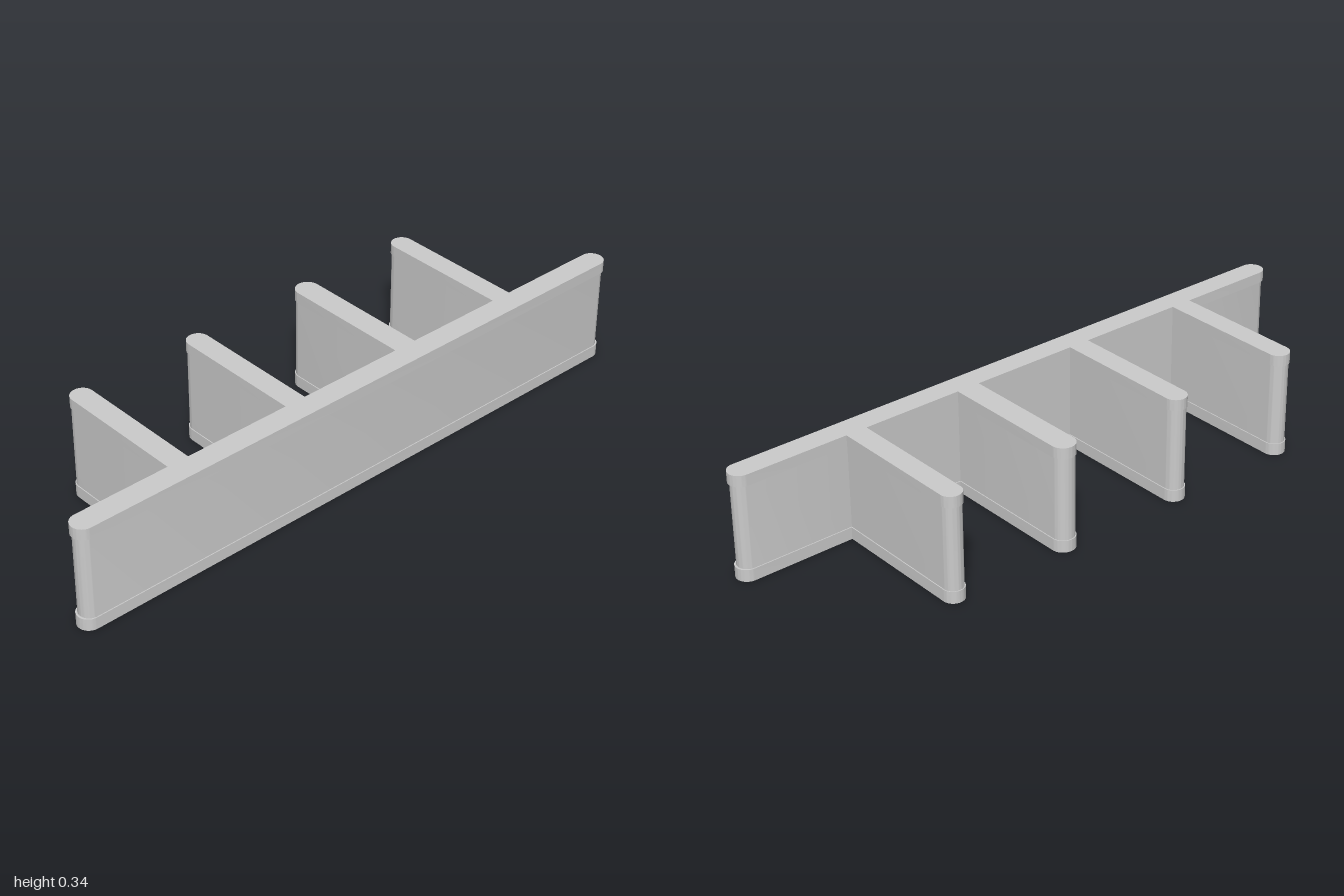
import * as THREE from 'three';
import { toCreasedNormals } from 'three/addons/utils/BufferGeometryUtils.js';

const WALL_Z = 0.226;   // centre line of the long front wall
const WALL_R = 0.036;   // half thickness of the wall
const BACK_Z = -0.262;  // rear tip of the fins

// Fins from the model's left to its right: centre x, half width
const FINS = [
  [0.605, 0.034],
  [0.212, 0.038],
  [-0.207, 0.035],
  [-0.622, 0.035],
];

// Comb-shaped footprint with rounded ends (shape y is -z)
function footprint(inset, endInset) {
  const r = WALL_R - inset;
  const endX = 1 - endInset - r;
  const shape = new THREE.Shape();
  shape.moveTo(-endX, -WALL_Z - r);
  shape.lineTo(endX, -WALL_Z - r);
  shape.absarc(endX, -WALL_Z, r, -Math.PI / 2, Math.PI / 2, false);
  for (const [x, halfWidth] of FINS) {
    const w = halfWidth - inset;
    shape.lineTo(x + w, -WALL_Z + r);
    shape.absarc(x, -BACK_Z - inset - w, w, 0, Math.PI, false);
    shape.lineTo(x - w, -WALL_Z + r);
  }
  shape.lineTo(-endX, -WALL_Z + r);
  shape.absarc(-endX, -WALL_Z, r, Math.PI / 2, Math.PI * 1.5, false);
  return shape;
}

export function createModel() {
  const group = new THREE.Group();
  group.name = 'combDivider';
  const material = new THREE.MeshStandardMaterial({ color: 0xcccccc });

  function addLayer(name, y0, y1, inset, endInset) {
    const geometry = new THREE.ExtrudeGeometry(footprint(inset, endInset), {
      depth: y1 - y0,
      bevelEnabled: false,
      curveSegments: 16,
    });
    geometry.rotateX(-Math.PI / 2);
    geometry.translate(0, y0, 0);
    const mesh = new THREE.Mesh(toCreasedNormals(geometry, Math.PI / 5), material);
    mesh.name = name;
    group.add(mesh);
  }

  // Slightly proud rims below and above the plain walls
  addLayer('bottomRim', 0, 0.038, 0, 0);
  addLayer('walls', 0.038, 0.3, 0.003, 0.006);
  addLayer('topRim', 0.3, 0.335, 0, 0);

  return group;
}
